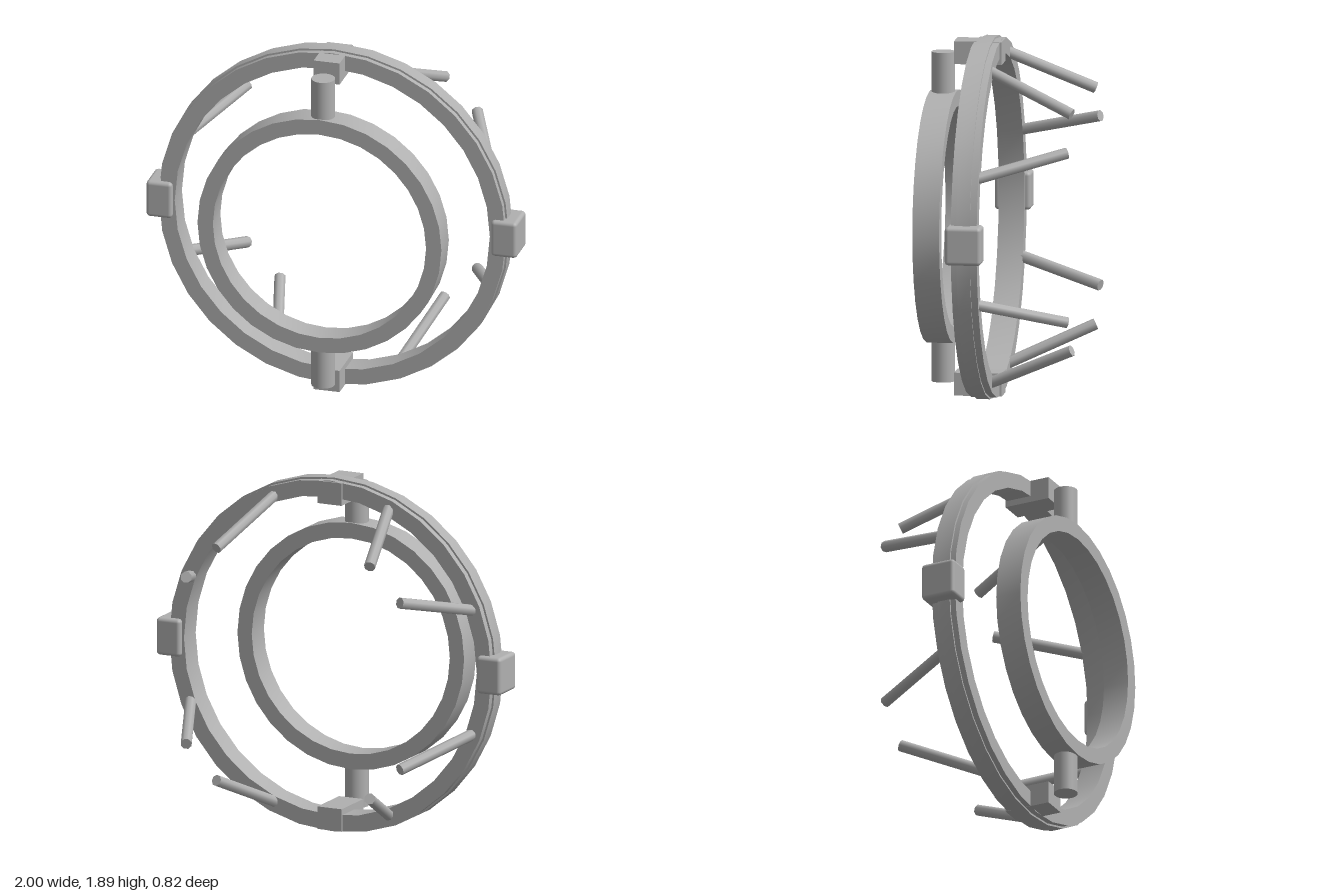
import * as THREE from 'three';
import { toCreasedNormals } from 'three/addons/utils/BufferGeometryUtils.js';
import { RoundedBoxGeometry } from 'three/addons/geometries/RoundedBoxGeometry.js';

const CENTRE_Y = 0.95;

export function createModel() {
  const model = new THREE.Group();
  model.name = 'ringFrame';
  const grey = new THREE.MeshStandardMaterial({ color: 0xb0b0b0 });
  grey.name = 'grey';

  // All parts are placed relative to the ring centre
  const add = (name, geometry, x = 0, y = 0, z = 0) => {
    const mesh = new THREE.Mesh(geometry, grey);
    mesh.name = name;
    mesh.position.set(x, CENTRE_Y + y, z);
    model.add(mesh);
    return mesh;
  };

  // Flat ring with rectangular section, 32 segments
  const ring = (outer, inner, depth) => {
    const shape = new THREE.Shape().absarc(0, 0, outer, 0, Math.PI * 2);
    shape.holes.push(new THREE.Path().absarc(0, 0, inner, 0, Math.PI * 2, true));
    const geometry = new THREE.ExtrudeGeometry(shape, { depth, bevelEnabled: false, curveSegments: 16 });
    return toCreasedNormals(geometry, 0.6);
  };

  add('outerRing', ring(0.935, 0.85, 0.135), 0, 0, 0.03);
  add('outerRingBand', ring(0.945, 0.9, 0.07), 0, 0, 0.065);
  add('innerRing', ring(0.658, 0.575, 0.14), 0, 0, 0.265);

  // Pivot pins and mounting blocks, top and bottom
  for (const s of [1, -1]) {
    add('pivotPin', new THREE.CylinderGeometry(0.062, 0.062, 0.225, 24), 0, s * 0.7525, 0.335);
    add('mountBlock', new THREE.BoxGeometry(0.14, 0.12, 0.25), 0, s * 0.87, 0.145);
  }

  // Rounded clamps on both sides
  for (const s of [1, -1]) {
    add('sideClamp', new RoundedBoxGeometry(0.14, 0.2, 0.19, 2, 0.02), s * 0.93, 0, 0.095);
  }

  // Eight slanted rods reaching back from the outer ring
  const up = new THREE.Vector3(0, 1, 0);
  for (const sx of [1, -1]) {
    for (const sy of [1, -1]) {
      for (const [x0, y0, x1, y1] of [[0.33, 0.82, 0.445, 0.62], [0.82, 0.33, 0.62, 0.445]]) {
        const start = new THREE.Vector3(sx * x0, sy * y0, 0.05);
        const end = new THREE.Vector3(sx * x1, sy * y1, -0.4);
        const mid = start.clone().lerp(end, 0.5);
        const direction = end.clone().sub(start);
        const geometry = new THREE.CylinderGeometry(0.03, 0.03, direction.length(), 8);
        const rod = add('rod', geometry, mid.x, mid.y, mid.z);
        rod.quaternion.setFromUnitVectors(up, direction.normalize());
      }
    }
  }
  return model;
}
